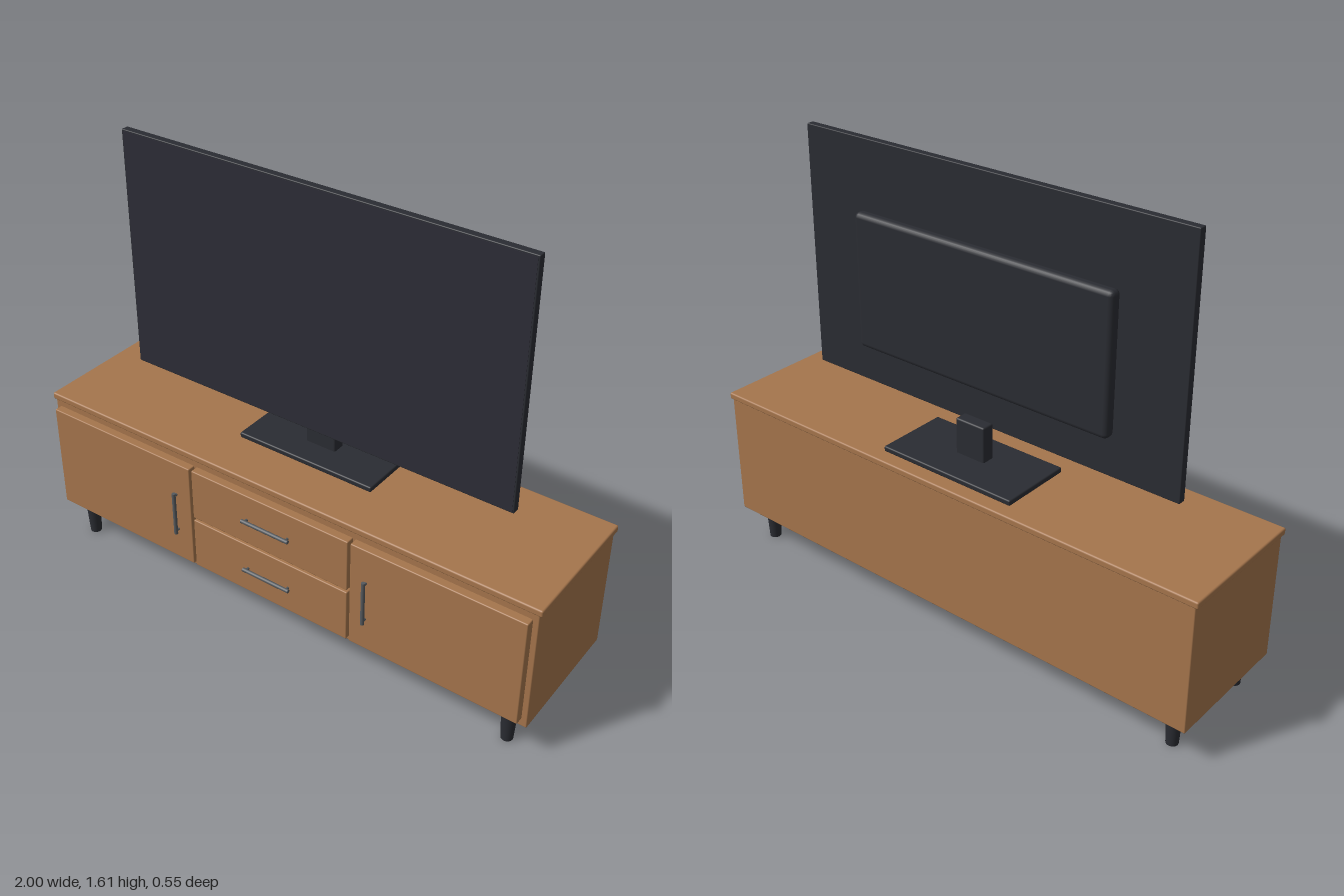
import * as THREE from 'three';
import { RoundedBoxGeometry } from 'three/addons/geometries/RoundedBoxGeometry.js';

const mat = (name, color) => new THREE.MeshStandardMaterial({ name, color });

export function createModel() {
  const group = new THREE.Group();
  group.name = 'televisionAndStand';
  const wood = mat('wood', 0xa5754c);
  const black = mat('blackPlastic', 0x2a2c32);
  const screenMat = mat('screenGlass', 0x2d2c36);
  const metal = mat('handleMetal', 0x55595d);

  const add = (name, geometry, material, x, y, z, parent = group) => {
    const mesh = new THREE.Mesh(geometry, material);
    mesh.name = name;
    mesh.position.set(x, y, z);
    parent.add(mesh);
    return mesh;
  };

  // Box given by its limits on each axis, with softened edges
  const box = (name, material, [x0, x1], [y0, y1], [z0, z1], radius = 0.004) =>
    add(name, new RoundedBoxGeometry(x1 - x0, y1 - y0, z1 - z0, 2, radius), material,
      (x0 + x1) / 2, (y0 + y1) / 2, (z0 + z1) / 2);

  // Bar handle on two short posts, vertical unless turned
  const handle = (name, x, y, length, horizontal) => {
    const g = new THREE.Group();
    g.name = name;
    g.position.set(x, y, 0.27);
    if (horizontal) g.rotation.z = Math.PI / 2;
    add('handleBar', new THREE.CylinderGeometry(0.007, 0.007, length, 16), metal, 0, 0, 0, g);
    for (const s of [-1, 1]) {
      const post = add('handlePost', new THREE.CylinderGeometry(0.005, 0.005, 0.02, 12), metal,
        0, s * (length / 2 - 0.012), -0.01, g);
      post.rotation.x = Math.PI / 2;
    }
    group.add(g);
  };

  // Cabinet
  box('cabinetBody', wood, [-0.99, 0.99], [0.13, 0.597], [-0.27, 0.225]);
  box('cabinetTop', wood, [-1, 1], [0.595, 0.62], [-0.275, 0.23], 0.006);

  // Doors, with handles on their inner edges
  box('rightDoor', wood, [-0.97, -0.335], [0.16, 0.572], [0.22, 0.255]);
  box('leftDoor', wood, [0.335, 0.97], [0.16, 0.572], [0.22, 0.255]);
  for (const s of [-1, 1]) handle('doorHandle', s * 0.398, 0.365, 0.175, false);

  // Drawers
  box('lowerDrawer', wood, [-0.325, 0.325], [0.16, 0.362], [0.22, 0.255]);
  box('upperDrawer', wood, [-0.325, 0.325], [0.372, 0.572], [0.22, 0.255]);
  for (const y of [0.262, 0.473]) handle('drawerHandle', 0, y, 0.195, true);

  // Tapered legs
  for (const x of [-0.907, 0.907]) {
    for (const z of [0.178, -0.195]) {
      add('leg', new THREE.CylinderGeometry(0.028, 0.021, 0.132, 24), black, x, 0.066, z);
    }
  }

  // Television panel, with a thin screen on its front
  box('televisionPanel', black, [-0.767, 0.767], [0.732, 1.613], [-0.024, 0.004], 0.003);
  add('screen', new THREE.BoxGeometry(1.522, 0.87, 0.004), screenMat, 0, 1.1725, 0.0035);
  box('rearHousing', black, [-0.522, 0.522], [0.88, 1.37], [-0.07, -0.023], 0.018);

  // Television stand
  box('standNeck', black, [-0.06, 0.06], [0.63, 0.77], [-0.096, -0.047], 0.006);
  box('standBase', black, [-0.272, 0.272], [0.62, 0.64], [-0.222, 0.05], 0.005);

  return group;
}
